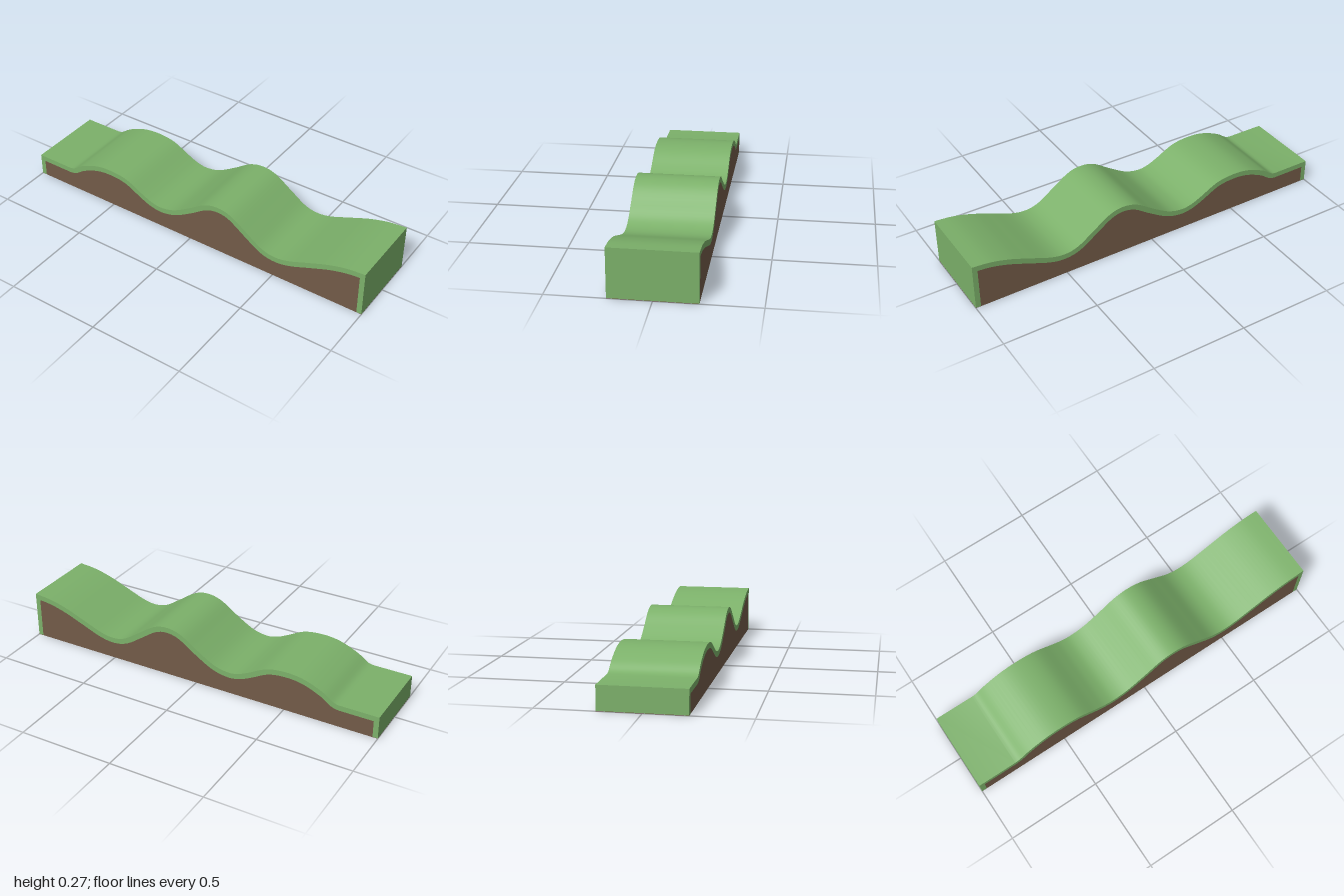
import * as THREE from 'three';
import { toCreasedNormals } from 'three/addons/utils/BufferGeometryUtils.js';

const DEPTH = 0.42, BAND = 0.029, BASE = 0.002, INNER = 0.973;

// Rolling hill line: a flat lead-in, then a smooth curve through the crests and dips
function hillLine() {
  const knots = [
    [-0.79, 0.121], [-0.76, 0.13], [-0.7, 0.17], [-0.6, 0.209], [-0.5, 0.219], [-0.4, 0.204],
    [-0.3, 0.153], [-0.24, 0.127], [-0.18, 0.119], [-0.1, 0.138], [0, 0.197], [0.09, 0.256],
    [0.17, 0.275], [0.25, 0.257], [0.35, 0.19], [0.43, 0.137], [0.5, 0.119], [0.58, 0.13],
    [0.7, 0.176], [0.8, 0.214], [0.9, 0.24], [1, 0.25],
  ].map(([x, y]) => new THREE.Vector2(x, y));
  return [new THREE.Vector2(-1, 0.121), ...new THREE.SplineCurve(knots).getPoints(100)];
}

// The same line moved inwards by the turf thickness and trimmed at both ends
function insetLine(line) {
  const moved = line.map((p, i) => {
    const a = line[Math.max(i - 1, 0)], b = line[Math.min(i + 1, line.length - 1)];
    const t = b.clone().sub(a).normalize();
    return new THREE.Vector2(p.x + t.y * BAND, p.y - t.x * BAND);
  }).filter((p) => Math.abs(p.x) < INNER - 0.002);
  const first = moved[0], last = moved[moved.length - 1];
  return [new THREE.Vector2(-INNER, first.y), ...moved, new THREE.Vector2(INNER, last.y)];
}

function slab(points, material, name) {
  const geometry = new THREE.ExtrudeGeometry(new THREE.Shape(points), { depth: DEPTH, bevelEnabled: false });
  geometry.translate(0, 0, -DEPTH / 2);
  const mesh = new THREE.Mesh(toCreasedNormals(geometry, 0.4), material);
  mesh.name = name;
  return mesh;
}

export function createModel() {
  const grass = new THREE.MeshStandardMaterial({ color: 0x7cb16a });
  grass.name = 'grass green';
  const soil = new THREE.MeshStandardMaterial({ color: 0x735b48 });
  soil.name = 'soil brown';

  const group = new THREE.Group();
  group.name = 'hillyGround';
  const outer = hillLine(), inner = insetLine(outer);
  const v = (x) => new THREE.Vector2(x, BASE);

  // Turf wraps over the top and down both ends
  group.add(slab([v(-1), v(-INNER), ...inner, v(INNER), v(1), ...outer.slice().reverse()], grass, 'turf'));
  // Soil core shows on the front and back
  group.add(slab([v(-INNER), v(INNER), ...inner.slice().reverse()], soil, 'soilCore'));
  // Thin soil underside
  const base = new THREE.Mesh(new THREE.BoxGeometry(2, BASE, DEPTH), soil);
  base.position.y = BASE / 2;
  base.name = 'underside';
  group.add(base);
  return group;
}
